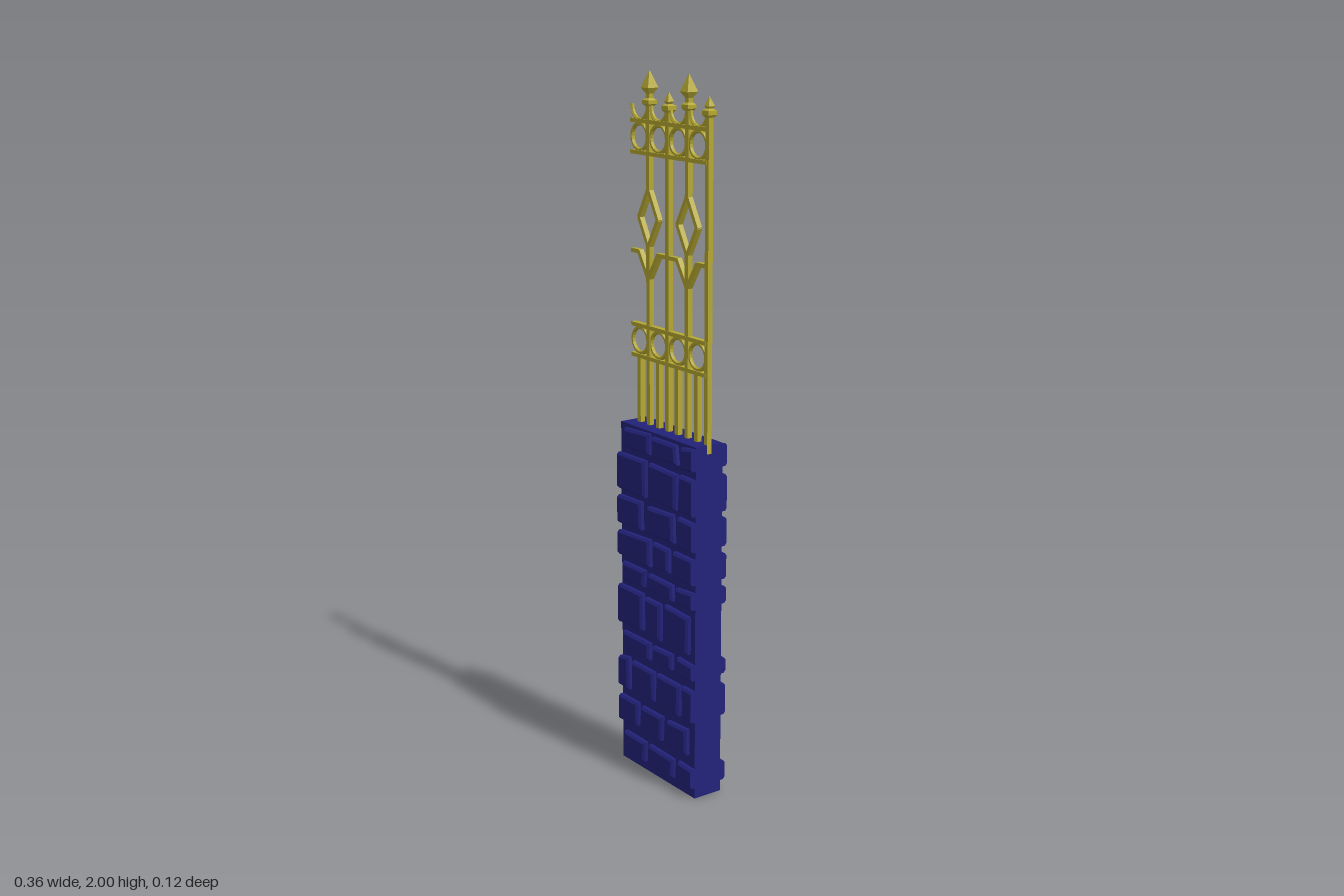
import * as THREE from 'three';
import { ConvexGeometry } from 'three/addons/geometries/ConvexGeometry.js';

const stoneMat = new THREE.MeshStandardMaterial({ color: 0x22227a, flatShading: true });
const goldMat = new THREE.MeshStandardMaterial({ color: 0xb5a832, flatShading: true });

const LEFT = -0.18, RIGHT = 0.17, WALL_TOP = 1.025;

function add(parent, name, geometry, material, x = 0, y = 0, z = 0) {
  const mesh = new THREE.Mesh(geometry, material);
  mesh.name = name;
  mesh.position.set(x, y, z);
  parent.add(mesh);
  return mesh;
}

// Square bar between two points of the fence plane
function bar(parent, name, x0, y0, x1, y1, w = 0.015, d = w) {
  const length = Math.hypot(x1 - x0, y1 - y0);
  const mesh = add(parent, name, new THREE.BoxGeometry(length, w, d), goldMat, (x0 + x1) / 2, (y0 + y1) / 2);
  mesh.rotation.z = Math.atan2(y1 - y0, x1 - x0);
}

// Square turned finial; profile holds [half width, height] pairs
function finial(parent, name, x, profile) {
  const points = profile.map(([r, y]) => new THREE.Vector2(r * Math.SQRT2, y));
  add(parent, name, new THREE.LatheGeometry(points, 4, Math.PI / 4), goldMat, x);
}

let seed = 7;
function jitter(amount) {
  seed = (seed * 16807) % 2147483647;
  return (seed / 2147483647 - 0.5) * 2 * amount;
}

// Chamfered uneven block, cut flush where it meets a wall end
function stoneGeometry(x0, x1, y0, y1, side) {
  const cx = (x0 + x1) / 2, cy = (y0 + y1) / 2;
  const points = [];
  for (const [px, py] of [[x0, y0], [x1, y0], [x1, y1], [x0, y1]]) {
    const flush = px <= LEFT || px >= RIGHT;
    const x = flush ? px : px + jitter(0.005);
    const y = py + jitter(0.004);
    const ix = flush ? x : x + Math.sign(cx - x) * 0.007;
    const iy = y + Math.sign(cy - y) * 0.007;
    points.push(
      new THREE.Vector3(x, y, side * 0.04),
      new THREE.Vector3(x, y, side * 0.055),
      new THREE.Vector3(ix, iy, side * 0.061));
  }
  return new ConvexGeometry(points);
}

// Each course: bottom, top, then the x spans of its stones
const courses = [
  [0.03, 0.09, [-0.155, -0.055], [-0.033, 0.078], [0.1, 0.17]],
  [0.125, 0.2, [-0.18, -0.092], [-0.068, 0.025], [0.058, 0.142]],
  [0.23, 0.325, [-0.18, -0.132], [-0.117, -0.012], [0, 0.11], [0.122, 0.17]],
  [0.355, 0.405, [-0.16, -0.033], [-0.012, 0.078], [0.1, 0.17]],
  [0.43, 0.54, [-0.18, -0.07], [-0.053, 0.025], [0.042, 0.148]],
  [0.562, 0.612, [-0.158, -0.055], [-0.033, 0.078], [0.095, 0.17]],
  [0.637, 0.71, [-0.18, -0.033], [-0.012, 0.056], [0.078, 0.17]],
  [0.73, 0.812, [-0.18, -0.07], [-0.043, 0.078], [0.1, 0.17]],
  [0.832, 0.937, [-0.18, -0.048], [-0.03, 0.092], [0.107, 0.17]],
  [0.957, 1.018, [-0.155, -0.035], [-0.015, 0.097], [0.12, 0.17]],
];

function createWall() {
  const wall = new THREE.Group();
  wall.name = 'stoneWall';
  add(wall, 'wallCore', new THREE.BoxGeometry(RIGHT - LEFT, WALL_TOP, 0.09), stoneMat, (LEFT + RIGHT) / 2, WALL_TOP / 2);
  for (const side of [1, -1]) {
    seed = 7; // same stones on both faces
    for (const [y0, y1, ...spans] of courses) {
      for (const [x0, x1] of spans) {
        add(wall, side > 0 ? 'frontStone' : 'backStone', stoneGeometry(x0, x1, y0, y1, side), stoneMat);
      }
    }
  }
  return wall;
}

function createFence() {
  const fence = new THREE.Group();
  fence.name = 'fence';
  const plainPosts = [-0.013, 0.163];
  const diamondPosts = [-0.101, 0.075];
  const gaps = [-0.145, -0.057, 0.031, 0.119];

  // Rails
  for (const y of [1.215, 1.302, 1.778, 1.863]) bar(fence, 'rail', LEFT, y, 0.163, y, 0.011, 0.017);

  // Plain posts with small square caps
  for (const x of plainPosts) {
    bar(fence, 'post', x, 1, x, 1.9);
    finial(fence, 'smallFinial', x, [[0, 1.893], [0.009, 1.893], [0.014, 1.9], [0.014, 1.911],
      [0.006, 1.916], [0.01, 1.922], [0, 1.948]]);
  }

  // Posts that split into a diamond, with branches and a large spearhead
  for (const x of diamondPosts) {
    bar(fence, 'lowerPost', x, 1, x, 1.53);
    bar(fence, 'upperPost', x, 1.678, x, 1.93);
    for (const s of [-1, 1]) {
      bar(fence, 'diamondSide', x, 1.525, x + s * 0.044, 1.604, 0.012, 0.015);
      bar(fence, 'diamondSide', x + s * 0.044, 1.602, x, 1.682, 0.012, 0.015);
      bar(fence, 'branch', x, 1.437, x + s * 0.046, 1.51, 0.013, 0.015);
      bar(fence, 'branchEnd', x + s * 0.043, 1.508, x + s * (s < 0 && x < -0.1 ? 0.079 : 0.088), 1.508, 0.011, 0.015);
    }
    finial(fence, 'largeFinial', x, [[0, 1.905], [0.009, 1.905], [0.014, 1.91], [0.014, 1.92],
      [0.007, 1.926], [0.007, 1.937], [0.017, 1.953], [0, 2]]);
  }

  for (const x of gaps) {
    // Short bar under each ring
    bar(fence, 'shortBar', x, 1, x, 1.215);
    // Rings between the rails
    for (const y of [1.259, 1.82]) add(fence, 'ring', new THREE.TorusGeometry(0.036, 0.006, 6, 20), goldMat, x, y);
    // Hanging arc above the top rail
    const arc = new THREE.CatmullRomCurve3(Array.from({ length: 9 }, (_, i) => {
      const a = Math.PI * (1 + i / 8);
      return new THREE.Vector3(x + 0.037 * Math.cos(a), 1.906 + 0.041 * Math.sin(a), 0);
    }));
    add(fence, 'topArc', new THREE.TubeGeometry(arc, 14, 0.006, 6), goldMat);
  }
  return fence;
}

export function createModel() {
  const model = new THREE.Group();
  model.name = 'fencedWall';
  model.add(createWall(), createFence());
  return model;
}
